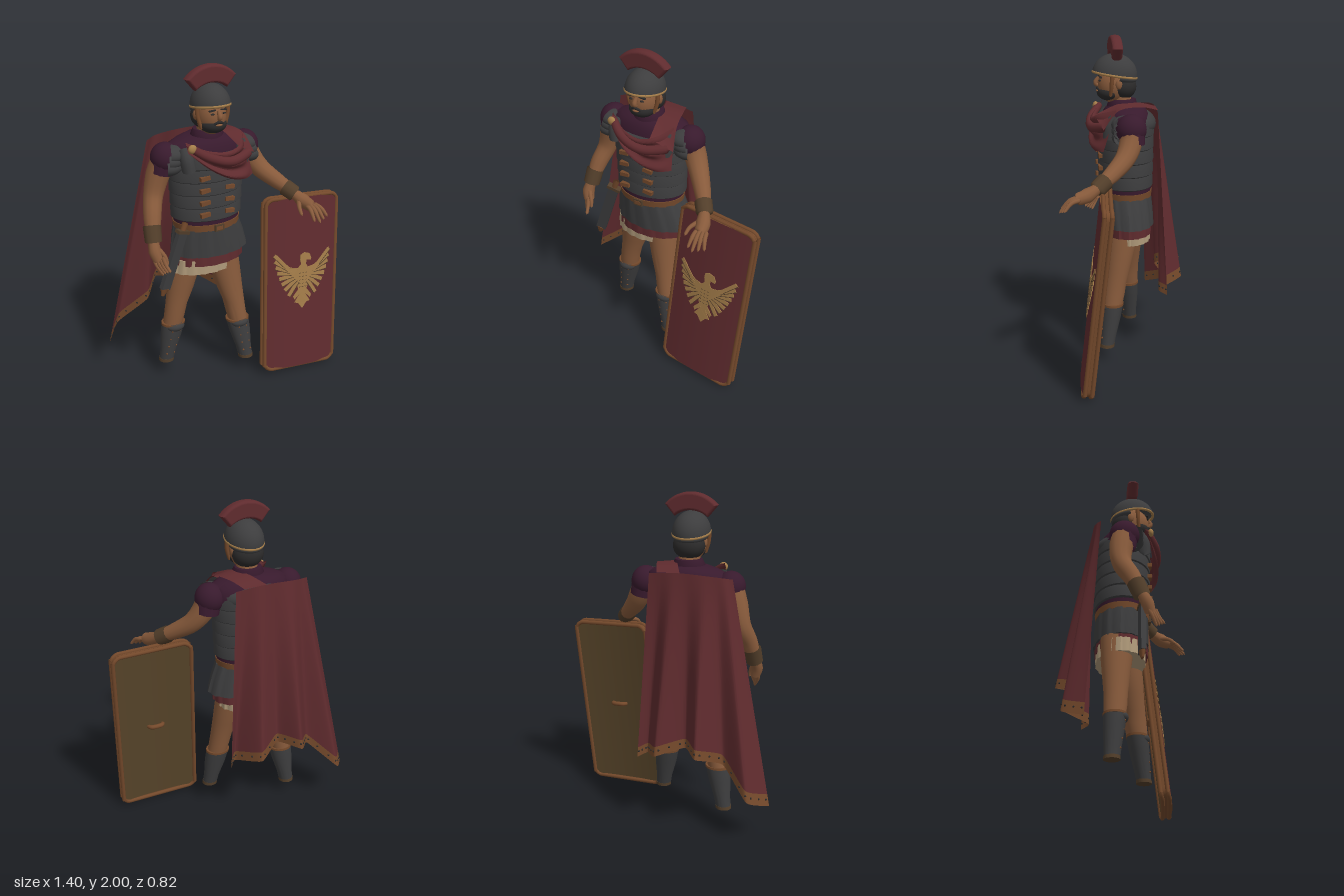
import * as THREE from 'three';
import { mergeVertices, mergeGeometries, toCreasedNormals } from 'three/addons/utils/BufferGeometryUtils.js';

const V = (p) => new THREE.Vector3(...p);
const lerp = THREE.MathUtils.lerp;
const spline = (pts, tension = 0.5) => new THREE.CatmullRomCurve3(pts.map(V), false, 'catmullrom', tension);

// Grid surface from a point rule f(u, v) -> [x, y, z]
function surface(f, nu, nv) {
  const pos = [], idx = [], w = nu + 1, g = new THREE.BufferGeometry();
  for (let j = 0; j <= nv; j++) for (let i = 0; i <= nu; i++) pos.push(...f(i / nu, j / nv));
  for (let j = 0; j < nv; j++) for (let i = 0; i < nu; i++) {
    const a = j * w + i;
    idx.push(a, a + 1, a + w, a + 1, a + w + 1, a + w);
  }
  g.setAttribute('position', new THREE.Float32BufferAttribute(pos, 3));
  g.setIndex(idx);
  return toCreasedNormals(mergeVertices(g, 1e-5), 0.8);
}
// Capped stack of elliptical rings [x, y, z, rx, rz], bottom to top; pleats make a saw-tooth rim
function loft(rings, pleats = 0, depth = 0.05) {
  const all = [[...rings[0].slice(0, 3), 0, 0], ...rings, [...rings.at(-1).slice(0, 3), 0, 0]];
  return surface((u, v) => {
    const [x, y, z, rx, rz] = all[Math.round(v * (all.length - 1))];
    const a = u * Math.PI * 2, k = pleats ? 1 + depth * ((u * pleats) % 1) : 1;
    return [x + rx * k * Math.cos(a), y, z - rz * k * Math.sin(a)];
  }, pleats ? pleats * 5 : 36, all.length - 1);
}
// Round-ended tube whose radius changes along its path
function limb(points, radii, n = 20, sides = 12) {
  const curve = spline(points), g = new THREE.TubeGeometry(curve, n, 1, sides), p = g.attributes.position, v = new THREE.Vector3();
  for (let q = 0; q < p.count; q++) {
    const t = Math.floor(q / (sides + 1)) / n, s = t * (radii.length - 1), k = Math.min(Math.floor(s), radii.length - 2);
    const e = Math.min(1, Math.min(t, 1 - t) / 0.1), c = curve.getPointAt(t);
    v.fromBufferAttribute(p, q).sub(c).multiplyScalar(lerp(radii[k], radii[k + 1], s - k) * Math.sqrt(1 - (1 - e) ** 2)).add(c);
    p.setXYZ(q, v.x, v.y, v.z);
  }
  return g;
}
const ball = (x, y, z, rx, ry, rz, ...arc) => new THREE.SphereGeometry(1, 28, 18, ...arc).scale(rx, ry, rz).translate(x, y, z);
const box = (x, y, z, w, h, d, rz = 0) => new THREE.BoxGeometry(w, h, d).rotateZ(rz).translate(x, y, z);
// Thin flat plate facing the front
const plate = (pts, z) => new THREE.ExtrudeGeometry(new THREE.Shape(pts.map(([x, y]) => new THREE.Vector2(x, y))), { depth: 0.004, bevelEnabled: false }).translate(0, 0, z);

export function createModel() {
  const root = new THREE.Group();
  root.name = 'soldier';
  const mat = (name, color) => Object.assign(new THREE.MeshStandardMaterial({ color, side: THREE.DoubleSide }), { name });
  const red = mat('red cloth', 0x5f2b2e), iron = mat('dark iron', 0x3d3d3e), skin = mat('skin', 0x875a3b),
    gold = mat('gold', 0xa37c49), purple = mat('purple cloth', 0x381a2d), cream = mat('cream linen', 0xb09a7a),
    brown = mat('brown leather', 0x74492b), backing = mat('shield backing', 0x58452a),
    hair = mat('hair', 0x2b2a2a), cuffBrown = mat('dark leather', 0x523e2a);
  const add = (name, geo, material, parent = root) => parent.add(Object.assign(new THREE.Mesh(geo, material), { name }));
  const group = (name, pos, rot) => {
    const g = new THREE.Group();
    g.name = name;
    g.position.set(...pos);
    g.rotation.set(...rot);
    root.add(g);
    return g;
  };
  const cx = -0.12;

  // Head
  add('head', ball(cx, 1.705, 0.04, 0.086, 0.11, 0.1), skin);
  add('nose', limb([[cx, 1.755, 0.13], [cx, 1.72, 0.15], [cx, 1.7, 0.135]], [0.01, 0.015, 0.012]), skin);
  add('beard', ball(cx, 1.662, 0.064, 0.08, 0.053, 0.08), hair);
  add('moustache', limb([[cx - 0.04, 1.668, 0.12], [cx, 1.688, 0.14], [cx + 0.04, 1.668, 0.12]], [0.008, 0.009, 0.008]), hair);
  add('mouth', ball(cx, 1.671, 0.137, 0.022, 0.007, 0.012), skin);
  add('hair', ball(cx, 1.695, -0.012, 0.096, 0.08, 0.084), hair);
  for (const s of [-1, 1]) {
    add('eye', ball(cx + s * 0.036, 1.735, 0.128, 0.013, 0.005, 0.008), hair);
    add('eyebrow', box(cx + s * 0.036, 1.755, 0.124, 0.04, 0.007, 0.014, -s * 0.12), hair);
    add('ear', ball(cx + s * 0.088, 1.715, 0.02, 0.014, 0.03, 0.02), skin);
    add('cheekStrap', limb([[cx + s * 0.1, 1.78, 0.06], [cx + s * 0.096, 1.71, 0.065], [cx + s * 0.075, 1.64, 0.07]], [0.014, 0.012, 0.01]), brown);
  }
  add('neck', loft([[cx, 1.54, -0.02, 0.07, 0.07], [cx, 1.67, 0.01, 0.06, 0.06]]), skin);

  // Helmet with crosswise crest
  const helmet = group('helmet', [cx, 1.765, 0.035], [-0.16, 0, 0]);
  add('helmetDome', ball(0, 0, 0, 0.112, 0.127, 0.137, 0, Math.PI * 2, 0, Math.PI / 2), iron, helmet);
  add('helmetBand', new THREE.TorusGeometry(1, 0.07, 8, 40).rotateX(Math.PI / 2).scale(0.108, 0.12, 0.132), gold, helmet);
  add('neckGuard', ball(0, -0.01, -0.02, 0.108, 0.04, 0.118, Math.PI, Math.PI), iron, helmet);
  const fan = new THREE.Shape();
  fan.absarc(0, 0, 0.197, Math.PI * 0.252, Math.PI * 0.748, false);
  fan.absarc(0, -0.052, 0.175, Math.PI * 0.69, Math.PI * 0.31, true);
  add('crest', new THREE.ExtrudeGeometry(fan, { depth: 0.014, bevelSize: 0.016, bevelThickness: 0.025, bevelSegments: 5, curveSegments: 24 }).translate(cx, 1.787, 0.026), red);

  // Tunic, scarf and banded cuirass
  add('tunicTop', loft([[cx, 1.38, -0.03, 0.225, 0.15], [cx, 1.48, -0.03, 0.255, 0.15], [cx, 1.54, -0.03, 0.24, 0.135], [cx, 1.565, -0.03, 0.19, 0.12], [cx, 1.585, -0.03, 0.12, 0.1]]), purple);
  add('scarf', loft([[cx, 1.52, -0.01, 0.13, 0.12], [cx, 1.565, -0.01, 0.095, 0.09], [cx, 1.585, -0.01, 0.098, 0.092], [cx, 1.62, -0.015, 0.08, 0.078]]), purple);
  for (let i = 0; i < 5; i++) {
    const y = 1.09 + i * 0.08, w = 0.217 + 0.004 * i, d = 0.16 + 0.002 * i;
    add('cuirassBand', loft([[cx, y, -0.03, w, d], [cx, y + 0.006, -0.03, w + 0.007, d + 0.007],
      [cx, y + 0.06, -0.03, w + 0.006, d + 0.006], [cx, y + 0.086, -0.03, w + 0.001, d + 0.001]]), iron);
    if (i < 4) for (const s of [-1, 1]) add('clasp', box(cx - 0.01 + s * 0.08, 1.14 + i * 0.075, 0.131, 0.06, 0.024, 0.026, -s * 0.1), brown);
  }
  add('backPlate', ball(cx, 1.475, -0.05, 0.22, 0.1, 0.165, Math.PI, Math.PI), iron);
  for (const s of [-1, 1]) {
    add('shoulderStrap', limb([[cx + s * 0.17, 1.4, 0.095], [cx + s * 0.18, 1.48, 0.085], [cx + s * 0.18, 1.54, 0.05]], [0.04, 0.042, 0.036]), iron);
    add('sleeve', ball(cx + s * 0.262, 1.475, -0.03, 0.086, 0.09, 0.09), purple);
    add('sleeveHem', limb([[cx + s * 0.265, 1.48, -0.03], [cx + s * 0.285, 1.375, -0.035]], [0.08, 0.072]), purple);
    for (let i = 0; i < 3; i++) // overlapping plates on the front of the shoulder
      add('shoulderPlate', ball(cx + s * (0.24 + i * 0.012), 1.5 - i * 0.035, -0.005, 0.09, 0.055, 0.09, s > 0 ? Math.PI * 0.2 : Math.PI * 0.38, Math.PI * 0.44), iron);
  }

  // Belt and layered skirt
  add('belt', loft([[cx, 1.025, -0.03, 0.208, 0.16], [cx, 1.065, -0.03, 0.212, 0.163]]), brown);
  add('beltTunic', loft([[cx, 1.05, -0.03, 0.206, 0.157], [cx, 1.1, -0.03, 0.21, 0.158]]), purple);
  add('buckle', box(cx, 1.043, 0.135, 0.06, 0.04, 0.014), cuffBrown);
  add('bucklePlate', box(cx, 1.043, 0.139, 0.04, 0.022, 0.012), brown);
  add('leatherSkirt', loft([[-0.1, 0.855, -0.035, 0.245, 0.16], [-0.11, 0.95, -0.033, 0.228, 0.158], [cx, 1.03, -0.03, 0.205, 0.154]], 14), iron);
  add('redSkirt', loft([[-0.112, 0.795, -0.033, 0.225, 0.152], [-0.11, 0.88, -0.033, 0.222, 0.15]], 16), red);
  add('linenSkirt', loft([[-0.142, 0.74, -0.04, 0.212, 0.142], [-0.135, 0.83, -0.037, 0.208, 0.14]], 18, 0.06), cream);

  // Legs with greaves: x of hip, knee, ankle then z of hip, knee, ankle
  for (const [hx, kx, ax, hz, kz, az] of [[-0.235, -0.325, -0.38, -0.065, -0.075, -0.095], [-0.03, 0.035, 0.082, -0.005, 0.06, 0.11]]) {
    const at = (t, y, rx, rz) => [lerp(hx, kx, t), y, lerp(hz, kz, t), rx, rz];
    const low = (t, y, rx, rz) => [lerp(kx, ax, t), y, lerp(kz, az, t), rx, rz];
    add('leg', loft([low(0.3, 0.34, 0.06, 0.06), low(0, 0.43, 0.064, 0.066), at(0.85, 0.5, 0.068, 0.068), at(0.55, 0.6, 0.083, 0.078), at(0.25, 0.72, 0.096, 0.09), at(0, 0.86, 0.1, 0.095)]), skin);
    add('greave', loft([low(1, 0.105, 0.046, 0.044), low(0.8, 0.17, 0.05, 0.048), low(0.45, 0.28, 0.068, 0.06), low(0.2, 0.36, 0.074, 0.064)]), iron);
    add('kneeGuard', ball(lerp(kx, ax, 0.18), 0.35, lerp(kz, az, 0.18) + 0.028, 0.06, 0.035, 0.048), iron);
    add('greaveRim', loft([low(0.2, 0.358, 0.076, 0.066), low(0.18, 0.372, 0.076, 0.066)]), brown);
    add('ankleStrap', loft([low(1.02, 0.097, 0.048, 0.046), low(0.98, 0.117, 0.048, 0.046)]), cuffBrown);
    for (const s of [-1, 1]) for (let i = 0; i < 4; i++)
      add('greaveStud', ball(lerp(kx, ax, 0.3 + i * 0.18) + s * 0.025, 0.325 - i * 0.055, lerp(kz, az, 0.3 + i * 0.18) + 0.055 - i * 0.005, 0.006, 0.006, 0.007), brown);
  }

  // Arms, cuffs and hands
  add('rightArm', limb([[-0.385, 1.49, -0.03], [-0.42, 1.38, -0.05], [-0.455, 1.25, -0.05], [-0.49, 1.14, 0.005], [-0.515, 1.02, 0.06]], [0.07, 0.07, 0.058, 0.052, 0.036], 28), skin);
  add('rightCuff', limb([[-0.505, 1.1, 0.025], [-0.515, 1.0, 0.065]], [0.054, 0.05]), cuffBrown);
  add('rightPalm', limb([[-0.515, 1.02, 0.06], [-0.52, 0.96, 0.09], [-0.505, 0.9, 0.11]], [0.03, 0.038, 0.03]), skin);
  add('rightThumb', limb([[-0.505, 0.98, 0.1], [-0.475, 0.93, 0.13], [-0.465, 0.88, 0.145]], [0.015, 0.013, 0.009], 10, 8), skin);
  add('leftArm', limb([[0.145, 1.49, -0.03], [0.18, 1.4, -0.02], [0.23, 1.32, 0.02], [0.3, 1.25, 0.1], [0.37, 1.19, 0.19]], [0.068, 0.066, 0.057, 0.048, 0.034], 28), skin);
  add('leftCuff', limb([[0.328, 1.22, 0.14], [0.373, 1.178, 0.2]], [0.052, 0.05]), cuffBrown);
  add('leftPalm', limb([[0.365, 1.185, 0.19], [0.395, 1.15, 0.26], [0.41, 1.135, 0.32]], [0.03, 0.043, 0.035]), skin);
  add('leftThumb', limb([[0.37, 1.155, 0.24], [0.335, 1.135, 0.3], [0.325, 1.1, 0.345]], [0.016, 0.013, 0.009], 10, 8), skin);
  for (let i = 0; i < 4; i++) {
    add('rightFinger', limb([[-0.53 + i * 0.012, 0.94, 0.085 + i * 0.016], [-0.525 + i * 0.014, 0.89, 0.11 + i * 0.016], [-0.495 + i * 0.008, 0.825 + i * 0.01, 0.145 + i * 0.016]], [0.013, 0.012, 0.008], 10, 8), skin);
    add('leftFinger', limb([[0.385 + i * 0.018, 1.14, 0.295], [0.382 + i * 0.025, 1.125, 0.35], [0.378 + i * 0.033, 1.06 + Math.abs(i - 1) * 0.01, 0.415 - Math.abs(i - 1) * 0.012]], [0.014, 0.013, 0.008], 10, 8), skin);
  }

  // Back cloak: a straight top edge spreading into a folded, studded hem
  const topEdge = spline([[-0.43, 1.545, -0.17], [-0.33, 1.56, -0.21], [-0.12, 1.57, -0.215], [0.06, 1.555, -0.2]]);
  const hem = spline([[-0.7, 0.23, -0.25], [-0.59, 0.29, -0.37], [-0.42, 0.46, -0.27], [-0.29, 0.53, -0.41], [-0.19, 0.54, -0.28], [-0.03, 0.5, -0.375], [0.07, 0.45, -0.215], [0.12, 0.43, -0.26]], 0.25);
  const cloak = (v0, v1) => (u, v) => topEdge.getPoint(u).lerp(hem.getPoint(u), lerp(v0, v1, v)).toArray();
  add('cloak', surface(cloak(0, 0.945), 84, 14), red);
  add('cloakHem', surface(cloak(0.945, 1), 84, 2), brown);
  for (let i = 0; i < 24; i++) add('hemStud', ball(...cloak(0.97, 0.97)((i + 0.5) / 24, 0), 0.006, 0.006, 0.006), hair);

  // Cloak over the left shoulder and draped across the chest
  const strip = (pa, pb, fold) => surface((u, v) => {
    const p = spline(pa).getPoint(u).lerp(spline(pb).getPoint(u), v);
    return [p.x, p.y, p.z + fold * Math.sin(Math.PI * u) * Math.sin(v * Math.PI * 5)];
  }, 36, 24);
  add('shoulderDrape', strip([[-0.13, 1.57, -0.215], [-0.08, 1.6, -0.1], [-0.04, 1.6, 0.02], [-0.01, 1.54, 0.17]], [[0.01, 1.565, -0.21], [0.05, 1.59, -0.1], [0.09, 1.575, 0.04], [0.12, 1.47, 0.13]], 0), red);
  add('chestDrape', strip([[-0.31, 1.585, 0.09], [-0.2, 1.535, 0.15], [-0.08, 1.52, 0.175], [0.02, 1.55, 0.15], [0.08, 1.58, 0.05]],
    [[-0.31, 1.53, 0.12], [-0.2, 1.43, 0.17], [-0.08, 1.36, 0.185], [0.03, 1.335, 0.175], [0.11, 1.34, 0.13]], 0.014), red);
  add('drapeRoll', limb([[-0.31, 1.57, 0.1], [-0.2, 1.5, 0.17], [-0.06, 1.46, 0.18], [0.1, 1.48, 0.12]], [0.022, 0.028, 0.03, 0.03]), red);
  add('brooch', ball(-0.29, 1.555, 0.135, 0.026, 0.026, 0.018), gold);

  // Sheathed sword on the right hip
  const sword = group('sword', [-0.395, 0.86, 0.07], [0.1, 0.2, -0.34]);
  add('scabbard', box(0, 0, 0, 0.062, 0.36, 0.03), iron, sword);
  add('scabbardTip', new THREE.CylinderGeometry(0.032, 0.012, 0.05, 12).scale(1, 1, 0.6).translate(0, -0.2, 0), brown, sword);
  add('swordGuard', box(0, 0.19, 0, 0.085, 0.02, 0.04), cuffBrown, sword);
  add('swordGrip', limb([[0, 0.18, 0], [0, 0.25, 0]], [0.015, 0.02]), brown, sword);

  // Curved shield resting under the left hand
  const shield = group('shield', [0.415, 0.585, 0.213], [-0.11, -0.09, -0.055]);
  const W = 0.246, H = 0.56, R = 0.05, CURVE = 0.35;
  const bend = (g) => {
    const p = g.attributes.position;
    for (let i = 0; i < p.count; i++) {
      let x = p.getX(i), y = p.getY(i);
      const dx = Math.abs(x) - (W - R), dy = Math.abs(y) - (H - R), d = Math.hypot(dx, dy);
      if (dx > 0 && dy > 0 && d > R) [x, y] = [Math.sign(x) * (W - R + dx / d * R), Math.sign(y) * (H - R + dy / d * R)];
      p.setXYZ(i, x, y, p.getZ(i) + 0.01 - CURVE * x * x);
    }
    g.computeVertexNormals();
    return g;
  };
  add('shieldBoard', bend(new THREE.BoxGeometry(2 * W, 2 * H, 0.05, 40, 88, 1)), [brown, brown, brown, brown, red, backing], shield);
  for (const z of [0.03, -0.012]) {
    const outline = [];
    for (const [sx, sy, a0] of [[1, 1, 0], [-1, 1, 1], [-1, -1, 2], [1, -1, 3]]) for (let i = 0; i <= 6; i++) {
      const a = (a0 + i / 6) * Math.PI / 2, x = sx * (W - R) + R * Math.cos(a);
      outline.push(V([x, sy * (H - R) + R * Math.sin(a), z - CURVE * x * x]));
    }
    add('shieldRim', new THREE.TubeGeometry(new THREE.CatmullRomCurve3(outline, true, 'catmullrom', 0.2), 160, 0.013, 8, true), brown, shield);
  }
  add('shieldHandle', limb([[-0.05, 0, -0.01], [-0.03, 0.01, -0.045], [0.03, 0.01, -0.045], [0.05, 0, -0.01]], [0.012, 0.014, 0.014, 0.012]), brown, shield);

  // Spread-winged bird emblem made of thin plates, with dark feather lines
  const marks = [], bird = [plate([[-0.04, 0.1], [-0.045, 0.02], [-0.02, -0.07], [0.02, -0.07], [0.045, 0.02], [0.04, 0.1], [0.022, 0.13], [0.025, 0.155], [0.055, 0.15],
    [0.06, 0.165], [0.045, 0.195], [0.01, 0.205], [-0.018, 0.19], [-0.02, 0.16], [-0.012, 0.13]], 0.027),
  plate([[-0.016, -0.06], [-0.055, -0.12], [-0.03, -0.125], [0, -0.165], [0.03, -0.125], [0.055, -0.12], [0.016, -0.06]], 0.027)];
  for (const s of [-1, 1]) {
    bird.push(plate([[s * 0.03, 0.105], [s * 0.08, 0.115], [s * 0.13, 0.145], [s * 0.192, 0.215], [s * 0.15, 0.11], [s * 0.09, 0.04], [s * 0.035, 0.01]], 0.027));
    bird.push(plate([[s * 0.025, -0.03], [s * 0.065, -0.08], [s * 0.055, -0.1], [s * 0.015, -0.06]], 0.027));
    for (let i = 0; i < 8; i++) {
      const t = i / 7, x0 = lerp(0.11, 0.035, t), y0 = lerp(0.12, 0.02, t), x1 = lerp(0.192, 0.095, t * t), y1 = lerp(0.205, -0.07, t);
      const l = Math.hypot(x1 - x0, y1 - y0), nx = -(y1 - y0) / l, ny = (x1 - x0) / l;
      const feather = (a, b, z) => plate([[x0 + nx * a, y0 + ny * a], [x1 + nx * a, y1 + ny * a], [x1 + nx * b, y1 + ny * b], [x0 + nx * b, y0 + ny * b]].map(([x, y]) => [s * x, y]), z);
      bird.push(feather(-0.014, 0.012, 0.027));
      marks.push(feather(-0.014, -0.0105, 0.029));
    }
  }
  for (let i = 0; i < 15; i++) {
    const x = (i % 3 - 1) * 0.022, y = 0.075 - Math.floor(i / 3) * 0.023;
    marks.push(plate([[x - 0.007, y], [x, y - 0.006], [x + 0.007, y], [x, y - 0.002]], 0.029));
  }
  add('shieldEmblem', bend(mergeGeometries(bird)), gold, shield);
  add('emblemLines', bend(mergeGeometries(marks)), cuffBrown, shield);
  return root;
}
